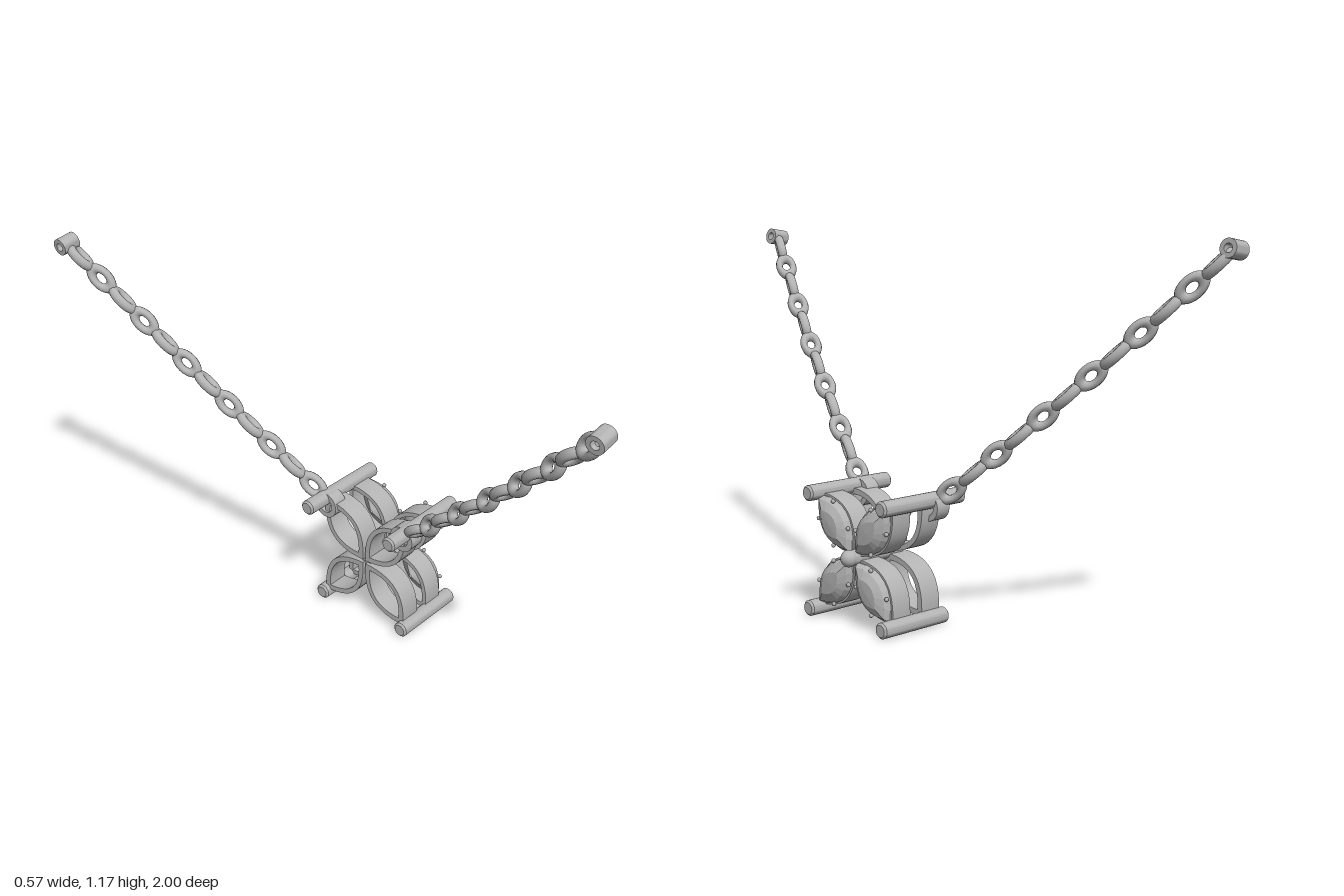
import * as THREE from 'three';
import { toCreasedNormals } from 'three/addons/utils/BufferGeometryUtils.js';

const silver = new THREE.MeshStandardMaterial({ color: 0xb4b4b4 });
silver.name = 'silver';

const CENTRE_Y = 0.213, CORNER_Z = 0.165, TOP_Y = 0.39, BOTTOM_Y = 0.03;

function add(parent, name, geometry, x = 0, y = 0, z = 0) {
  const mesh = new THREE.Mesh(geometry, silver);
  mesh.name = name;
  mesh.position.set(x, y, z);
  parent.add(mesh);
  return mesh;
}

// Pointed oval running along +x from r0 to r1
function marquise(PathType, r0, r1, half) {
  const mid = (r0 + r1) / 2;
  const p = new PathType();
  p.moveTo(r0, 0);
  p.quadraticCurveTo(mid, -half * 2, r1, 0);
  p.quadraticCurveTo(mid, half * 2, r0, 0);
  return p;
}

function frameGeometry(depth, wall) {
  const shape = marquise(THREE.Shape, 0.008, 0.238, 0.063);
  shape.holes.push(marquise(THREE.Path, 0.008 + wall * 1.6, 0.238 - wall * 1.6, 0.063 - wall));
  const g = new THREE.ExtrudeGeometry(shape, { depth, bevelEnabled: false, curveSegments: 14 });
  return toCreasedNormals(g, 0.6);
}

// Faceted stone made from scaled outlines: [height, scale]
function gemGeometry() {
  const outline = marquise(THREE.Shape, 0.018, 0.23, 0.058).getPoints(8).slice(0, -1);
  const n = outline.length, mid = 0.124, pos = [], index = [];
  const levels = [[0.175, 0.05], [0.215, 0.97], [0.232, 1], [0.248, 0.87], [0.262, 0.5], [0.264, 0.001]];
  for (const [h, s] of levels)
    for (const p of outline) pos.push(mid + (p.x - mid) * s, p.y * s, h);
  for (let l = 0; l < levels.length - 1; l++)
    for (let i = 0; i < n; i++) {
      const a = l * n + i, b = l * n + (i + 1) % n;
      index.push(a, b, b + n, a, b + n, a + n);
    }
  const g = new THREE.BufferGeometry();
  g.setAttribute('position', new THREE.Float32BufferAttribute(pos, 3));
  g.setIndex(index);
  const flat = g.toNonIndexed();
  flat.computeVertexNormals();
  return flat;
}

// Round bar along x with softened ends
function barGeometry(x0, x1, r) {
  const h = (x1 - x0) / 2, b = 0.006;
  const pts = [[0, -h], [r - b, -h], [r, -h + b], [r, h - b], [r - b, h], [0, h]];
  const g = new THREE.LatheGeometry(pts.map(p => new THREE.Vector2(...p)), 20);
  g.rotateZ(-Math.PI / 2).translate((x0 + x1) / 2, 0, 0);
  return toCreasedNormals(g, 0.6);
}

// Open ring band with its axis along x
function bandGeometry(outer, inner, length) {
  const h = length / 2;
  const pts = [[inner, -h], [outer, -h], [outer, h], [inner, h], [inner, -h]];
  const g = new THREE.LatheGeometry(pts.map(p => new THREE.Vector2(...p)), 24);
  return toCreasedNormals(g.rotateZ(-Math.PI / 2), 0.6);
}

function buildFlower() {
  const flower = new THREE.Group();
  flower.name = 'flowerPendant';
  const front = frameGeometry(0.07, 0.014), back = frameGeometry(0.072, 0.016), gem = gemGeometry();
  for (const sz of [1, -1]) for (const sy of [1, -1]) {
    const dir = new THREE.Vector3(0, sy * 0.178, sz * CORNER_Z).normalize();
    const out = new THREE.Vector3(1, 0, 0);
    const petal = new THREE.Group();
    petal.name = 'petal';
    petal.quaternion.setFromRotationMatrix(
      new THREE.Matrix4().makeBasis(dir, out.clone().cross(dir), out));
    petal.position.y = CENTRE_Y;
    add(petal, 'frontFrame', front, 0, 0, 0.157);
    add(petal, 'backFrame', back, 0, 0, 0.038);
    add(petal, 'stone', gem);
    // Small claws along the stone edge
    for (const r of [0.075, 0.175]) for (const s of [1, -1])
      add(petal, 'claw', new THREE.SphereGeometry(0.007, 8, 6), r, s * 0.046, 0.243);
    flower.add(petal);

    // Bar through the petal tip
    const x0 = sy > 0 ? -0.05 : 0.017;
    add(flower, 'tipBar', barGeometry(x0, 0.28, 0.0245), 0, sy > 0 ? TOP_Y : BOTTOM_Y, sz * CORNER_Z);
  }
  add(flower, 'centreRod', barGeometry(0.05, 0.26, 0.024), 0, CENTRE_Y, 0);
  add(flower, 'centreBead', new THREE.SphereGeometry(0.026, 20, 14), 0.255, CENTRE_Y, 0);
  return flower;
}

function buildChain(side) {
  const chain = new THREE.Group();
  chain.name = side > 0 ? 'frontChain' : 'backChain';
  const curve = new THREE.QuadraticBezierCurve3(
    new THREE.Vector3(0.05, 0.385, side * 0.17),
    new THREE.Vector3(-0.09, 0.735, side * 0.58),
    new THREE.Vector3(-0.253, 1.14, side * 0.972));
  const link = new THREE.TorusGeometry(0.0235, 0.0115, 10, 24).scale(1, 1.65, 1.35);
  const count = 12;
  for (let i = 0; i < count; i++) {
    const t = (i + 0.6) / (count + 0.2);
    const along = curve.getTangentAt(t);
    // Neighbouring links are turned a quarter around the chain
    const normal = new THREE.Vector3(0, 0, 1).projectOnPlane(along).normalize()
      .applyAxisAngle(along, (i % 2 ? 1 : -1) * Math.PI / 4);
    const m = add(chain, 'chainLink', link);
    m.position.copy(curve.getPointAt(t));
    m.quaternion.setFromRotationMatrix(
      new THREE.Matrix4().makeBasis(along.clone().cross(normal), along, normal));
  }
  add(chain, 'hangingLoop', bandGeometry(0.043, 0.025, 0.05), 0.055, 0.368, side * 0.155);
  const end = add(chain, 'endRing', bandGeometry(0.027, 0.013, 0.06), -0.253, 1.14, side * 0.973);
  end.rotation.z = 0.14;
  return chain;
}

export function createModel() {
  const model = new THREE.Group();
  model.name = 'flowerNecklace';
  model.add(buildFlower(), buildChain(1), buildChain(-1));
  return model;
}
